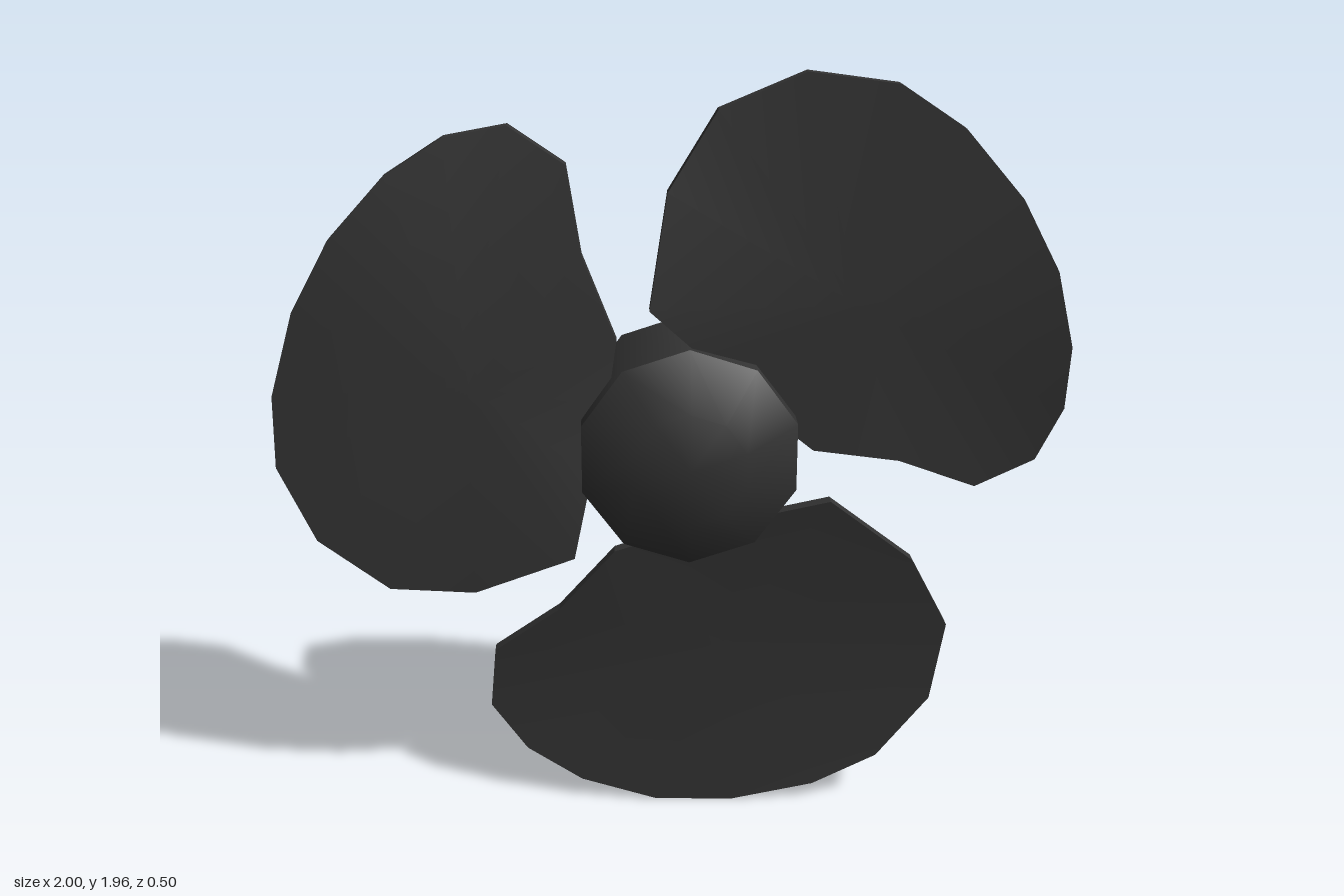
import * as THREE from 'three';

const AXIS = new THREE.Vector2(0.018, 1.03);
const THICKNESS = 0.036;

// Blade rim, clockwise from the leading root corner: x, y, z of the mid-surface
const RIM = [
  [-0.065, 1.41, 0.145], [-0.02, 1.69, 0.11], [0.1, 1.88, 0.085], [0.31, 1.965, 0.072],
  [0.53, 1.935, 0.07], [0.69, 1.83, 0.07], [0.84, 1.66, 0.07], [0.94, 1.48, 0.066],
  [0.995, 1.28, 0.045], [0.995, 1.11, 0.02], [0.935, 0.965, 0], [0.78, 0.895, 0.008],
  [0.575, 0.98, 0.04], [0.35, 1.02, 0.065], [0.22, 1.13, 0.08], [0.09, 1.26, 0.11],
];
const MIDDLE = [0.45, 1.4, 0.072];

// Thin twisted plate: front fan, back fan and a separate rim so edges stay sharp
function bladeGeometry() {
  const n = RIM.length;
  const positions = [];
  const index = [];
  const add = ([x, y, z], offset) => positions.push(x - AXIS.x, y - AXIS.y, z + offset);
  for (const side of [1, -1]) {
    const offset = side * THICKNESS / 2;
    const centre = positions.length / 3;
    add(MIDDLE, offset);
    RIM.forEach((p) => add(p, offset));
    for (let i = 0; i < n; i++) {
      const a = centre + 1 + i;
      const b = centre + 1 + (i + 1) % n;
      index.push(centre, ...(side > 0 ? [b, a] : [a, b]));
    }
  }
  for (let i = 0; i < n; i++) {
    const p = RIM[i];
    const q = RIM[(i + 1) % n];
    const s = positions.length / 3;
    add(q, -THICKNESS / 2);
    add(p, -THICKNESS / 2);
    add(p, THICKNESS / 2);
    add(q, THICKNESS / 2);
    index.push(s, s + 1, s + 2, s, s + 2, s + 3);
  }
  const geometry = new THREE.BufferGeometry();
  geometry.setAttribute('position', new THREE.Float32BufferAttribute(positions, 3));
  geometry.setIndex(index);
  geometry.computeVertexNormals();
  return geometry;
}

// Ten-sided turned part about the z axis
function turned(points) {
  return new THREE.LatheGeometry(points.map(([r, z]) => new THREE.Vector2(r, z)), 10).rotateX(Math.PI / 2);
}

export function createModel() {
  const model = new THREE.Group();
  model.name = 'propeller';
  const dark = new THREE.MeshStandardMaterial({ color: 0x333333 });
  dark.name = 'dark grey';

  // Hub: barrel with a bevelled cap at each end
  const hub = new THREE.Group();
  hub.name = 'hub';
  hub.position.set(0.033, 1.03, 0);
  const hubParts = {
    barrel: [[0.282, -0.158], [0.282, 0.158]],
    frontCap: [[0.282, 0.158], [0.145, 0.248], [0, 0.248]],
    backCap: [[0, -0.248], [0.145, -0.248], [0.282, -0.158]],
  };
  for (const [name, points] of Object.entries(hubParts)) {
    const mesh = new THREE.Mesh(turned(points), dark);
    mesh.name = name;
    hub.add(mesh);
  }
  model.add(hub);

  // Three blades around the hub
  const geometry = bladeGeometry();
  const blades = [['leftBlade', 0, 1], ['lowerBlade', -120, 1], ['rightBlade', 121.7, 0.985]];
  for (const [name, degrees, scale] of blades) {
    const blade = new THREE.Mesh(geometry, dark);
    blade.name = name;
    blade.position.set(AXIS.x, AXIS.y, 0);
    blade.rotation.z = THREE.MathUtils.degToRad(degrees);
    blade.scale.set(scale, scale, 1);
    model.add(blade);
  }
  return model;
}
